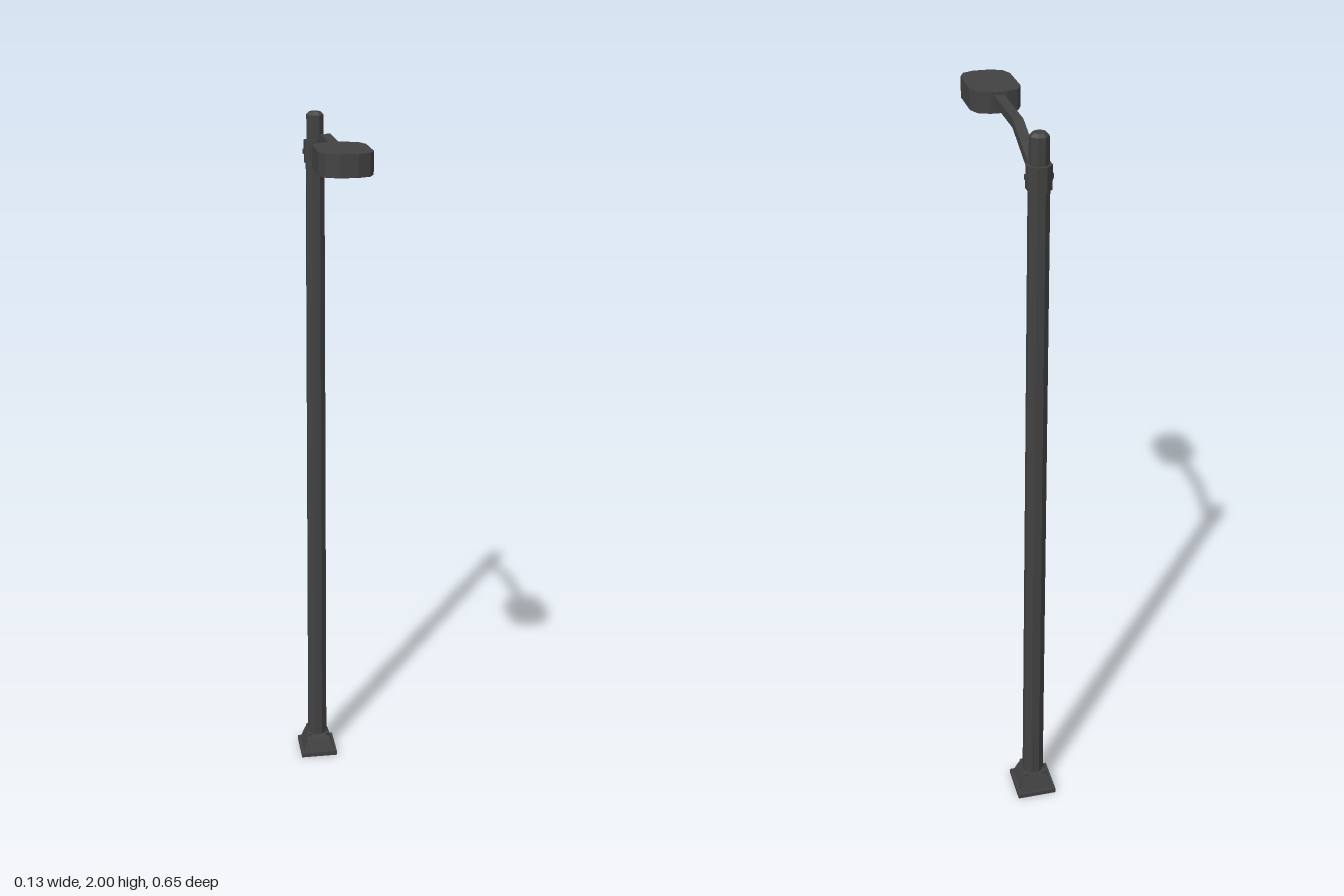
import * as THREE from 'three';

export function createModel() {
  const model = new THREE.Group();
  const metal = new THREE.MeshStandardMaterial({ color: 0x424242, flatShading: true });
  metal.name = 'dark grey metal';
  const glass = new THREE.MeshStandardMaterial({ color: 0xb8b8b8, flatShading: true });
  glass.name = 'pale lens';
  const poleZ = -0.272;

  const add = (name, geometry, material, x, y, z) => {
    const mesh = new THREE.Mesh(geometry, material);
    mesh.name = name;
    mesh.position.set(x, y, z);
    model.add(mesh);
    return mesh;
  };

  // Upright prism or frustum with flat sides facing the axes; sizes are half widths across flats
  const prism = (name, sides, top, bottom, y0, y1) => {
    const k = 1 / Math.cos(Math.PI / sides);
    const g = new THREE.CylinderGeometry(top * k, bottom * k, y1 - y0, sides);
    g.rotateY(Math.PI / sides);
    return add(name, g, metal, 0, (y0 + y1) / 2, poleZ);
  };

  // Square foot
  prism('basePlate', 4, 0.056, 0.056, 0, 0.014);
  prism('baseFlare', 4, 0.037, 0.048, 0.014, 0.05);
  prism('baseShoulder', 4, 0.031, 0.037, 0.05, 0.066);
  for (const x of [-1, 1]) for (const z of [-1, 1]) {
    add('baseBolt', new THREE.CylinderGeometry(0.007, 0.007, 0.016, 6), metal,
      x * 0.027, 0.062, poleZ + z * 0.027);
  }

  // Octagonal pole, clamp and cap
  prism('pole', 8, 0.0245, 0.028, 0.06, 1.9);
  prism('clamp', 8, 0.0295, 0.0295, 1.865, 1.925);
  prism('poleTop', 8, 0.0225, 0.0225, 1.9, 1.992);
  prism('poleCap', 8, 0.0155, 0.0225, 1.992, 2);

  // Bracket and side bolts on the clamp
  add('armBracket', new THREE.BoxGeometry(0.034, 0.034, 0.02), metal, 0, 1.893, poleZ + 0.032);
  for (const side of [-1, 1]) {
    add('clampBolt', new THREE.BoxGeometry(0.008, 0.012, 0.012), metal, side * 0.03, 1.895, poleZ);
  }

  // Bent arm, drawn as a side profile (z, y) and extruded across x
  const arm = new THREE.Shape([
    [-0.25, 1.876], [-0.068, 1.946], [0.14, 1.946],
    [0.14, 1.968], [-0.072, 1.968], [-0.25, 1.9],
  ].map(([z, y]) => new THREE.Vector2(-z, y)));
  const armGeometry = new THREE.ExtrudeGeometry(arm, { depth: 0.026, bevelEnabled: false });
  armGeometry.translate(0, 0, -0.013);
  armGeometry.rotateY(Math.PI / 2);
  add('arm', armGeometry, metal, 0, 0, 0);

  // Lamp head with chamfered outline, centred on its own origin
  const headZ = 0.2265;
  const corner = [[0.066, 0.056], [0.053, 0.086], [0.022, 0.0995]];
  const back = [...corner].reverse();
  const outline = [
    ...corner, ...back.map(([x, z]) => [-x, z]),
    ...corner.map(([x, z]) => [-x, -z]), ...back.map(([x, z]) => [x, -z]),
  ].map(([x, z]) => new THREE.Vector2(x, z));
  const headGeometry = new THREE.ExtrudeGeometry(new THREE.Shape(outline), { depth: 0.055, bevelEnabled: false });
  headGeometry.rotateX(Math.PI / 2);
  add('lampHead', headGeometry, metal, 0, 1.976, headZ);

  // Shallow oval lens under the head
  const lens = new THREE.CylinderGeometry(1, 0.75, 0.011, 12);
  lens.scale(0.046, 1, 0.062);
  add('lens', lens, glass, 0, 1.9165, 0.21);

  return model;
}
